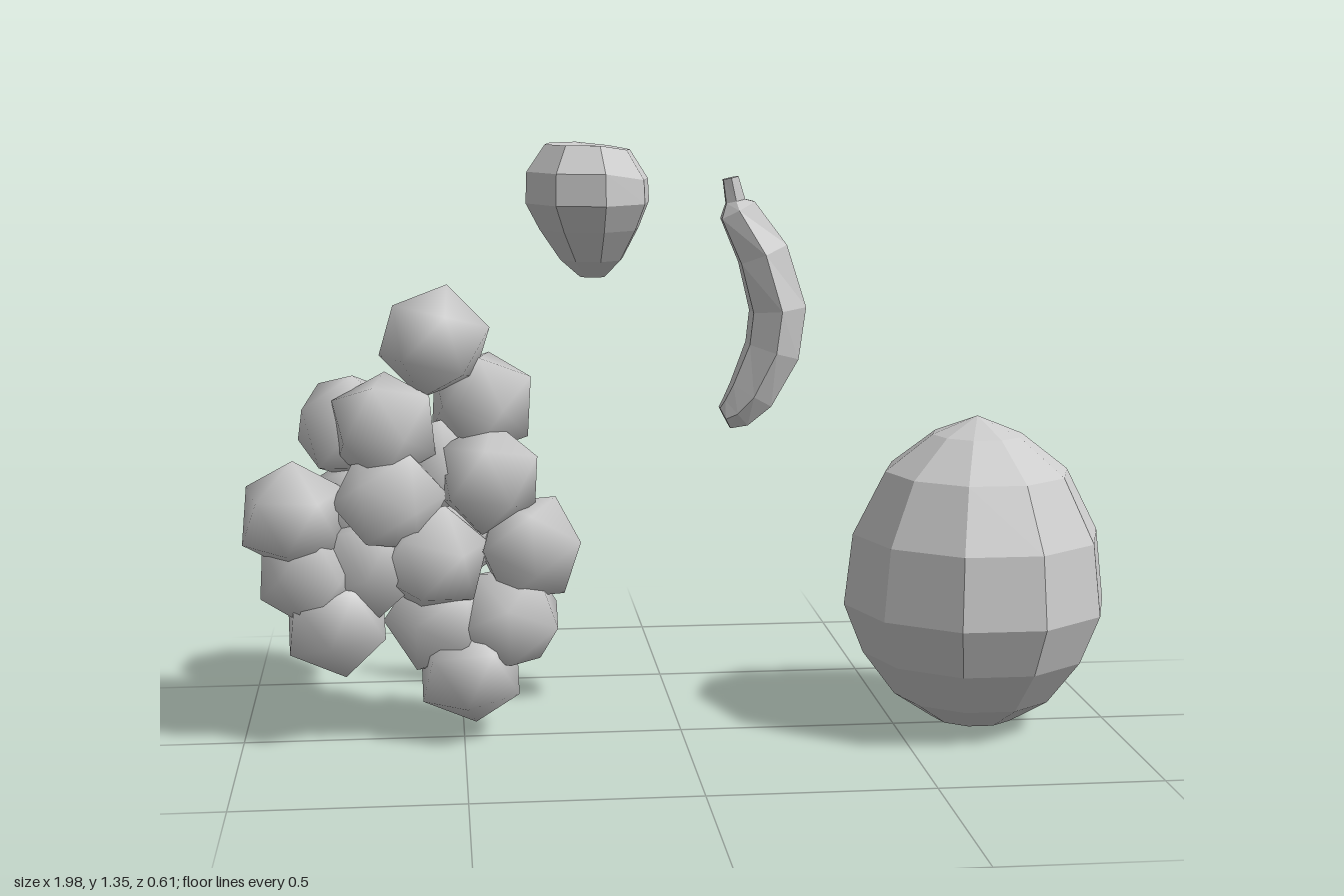
import * as THREE from 'three';
import { mergeVertices } from 'three/addons/utils/BufferGeometryUtils.js';

const smooth = new THREE.MeshStandardMaterial({ color: 0xcccccc });
const faceted = new THREE.MeshStandardMaterial({ color: 0xcccccc, flatShading: true, side: THREE.DoubleSide });

function addMesh(parent, name, geometry, material) {
  const mesh = new THREE.Mesh(geometry, material);
  mesh.name = name;
  parent.add(mesh);
  return mesh;
}

// Turned profile given as [radius, height] pairs
function lathe(profile, sides, phase = 0) {
  return new THREE.LatheGeometry(profile.map(([r, y]) => new THREE.Vector2(r, y)), sides, phase);
}

// Bends rings along a path in the xy plane: [x, y, half width, half depth]
function bentTube(rings, sides) {
  const positions = [];
  const index = [];
  rings.forEach(([x, y, w, d], i) => {
    const a = rings[Math.max(i - 1, 0)];
    const b = rings[Math.min(i + 1, rings.length - 1)];
    const length = Math.hypot(b[0] - a[0], b[1] - a[1]);
    const nx = -(b[1] - a[1]) / length;
    const ny = (b[0] - a[0]) / length;
    for (let j = 0; j < sides; j++) {
      const t = ((j + 0.5) / sides) * Math.PI * 2;
      const c = Math.cos(t) * w;
      positions.push(x + nx * c, y + ny * c, Math.sin(t) * d);
      if (i === 0) continue;
      const k = (j + 1) % sides;
      const p = (i - 1) * sides;
      const q = i * sides;
      index.push(p + j, q + j, p + k, p + k, q + j, q + k);
    }
  });
  // End caps
  const last = (rings.length - 1) * sides;
  for (let j = 1; j < sides - 1; j++) {
    index.push(0, j, j + 1, last, last + j + 1, last + j);
  }
  const geometry = new THREE.BufferGeometry();
  geometry.setAttribute('position', new THREE.Float32BufferAttribute(positions, 3));
  geometry.setIndex(index);
  geometry.computeVertexNormals();
  return geometry;
}

function makeGrapes() {
  const group = new THREE.Group();
  group.name = 'grapes';
  let berry = new THREE.IcosahedronGeometry(0.13, 0);
  berry.deleteAttribute('normal');
  berry.deleteAttribute('uv');
  berry = mergeVertices(berry);
  berry.computeVertexNormals();
  const centres = [
    [-0.555, 0.92, 0], [-0.45, 0.77, -0.06], [-0.75, 0.72, -0.07], [-0.67, 0.73, 0.02],
    [-0.66, 0.57, 0.04], [-0.875, 0.53, 0.015], [-0.44, 0.61, 0.01], [-0.54, 0.62, -0.06],
    [-0.345, 0.445, 0], [-0.565, 0.43, 0.03], [-0.7, 0.42, 0], [-0.84, 0.4, 0],
    [-0.785, 0.285, 0], [-0.55, 0.28, -0.02], [-0.395, 0.285, 0], [-0.485, 0.165, 0],
    [-0.73, 0.53, -0.07], [-0.52, 0.47, -0.07],
  ];
  centres.forEach(([x, y, z], i) => {
    const grape = addMesh(group, 'grape', berry, smooth);
    grape.position.set(x, y, z);
    grape.rotation.set(i * 1.3, i * 2.1 + 0.4, i * 0.7 + 0.3);
  });
  return group;
}

function makeApple() {
  const group = new THREE.Group();
  group.name = 'apple';
  group.position.set(-0.205, 0, -0.05);
  // Body with a sunken top, narrowing to a small base
  const body = lathe([
    [0, 1.06], [0.035, 1.055], [0.085, 1.095], [0.135, 1.165], [0.168, 1.225],
    [0.165, 1.295], [0.115, 1.355], [0.055, 1.345], [0.03, 1.325], [0, 1.32],
  ], 8, 0.2);
  // The right side of the crown slopes away, and the base leans towards it
  const p = body.attributes.position;
  for (let i = 0; i < p.count; i++) {
    const x = p.getX(i);
    const y = p.getY(i);
    const lean = 0.03 * Math.max(0, (1.22 - y) / 0.17);
    p.setX(i, x * 0.86 + (y < 1.22 ? lean * 0.4 : 0));
    p.setZ(i, p.getZ(i) * 1.06 - lean * 0.8);
    if (y > 1.28 && x > 0.04) p.setY(i, y - x * 0.12);
  }
  body.computeVertexNormals();
  addMesh(group, 'appleBody', body, faceted);
  const stem = addMesh(group, 'appleStem', new THREE.CylinderGeometry(0.022, 0.015, 0.03, 6), faceted);
  stem.position.y = 1.335;
  return group;
}

function makeBanana() {
  const group = new THREE.Group();
  group.name = 'banana';
  addMesh(group, 'bananaBody', bentTube([
    [0.112, 1.28, 0.02, 0.017],
    [0.123, 1.228, 0.025, 0.02],
    [0.128, 1.208, 0.048, 0.034],
    [0.185, 1.11, 0.064, 0.062],
    [0.22, 0.985, 0.069, 0.08],
    [0.208, 0.89, 0.067, 0.076],
    [0.16, 0.79, 0.058, 0.056],
    [0.125, 0.75, 0.045, 0.04],
    [0.1, 0.737, 0.03, 0.026],
  ], 6), faceted);
  return group;
}

function makeMelon() {
  // Ten-sided egg, slightly deeper than wide, fullest below the middle
  const melon = new THREE.Group();
  melon.name = 'melon';
  const body = addMesh(melon, 'melonBody', lathe([
    [0, 0.005], [0.1, 0.02], [0.195, 0.078], [0.275, 0.18], [0.323, 0.295],
    [0.303, 0.46], [0.225, 0.605], [0.11, 0.69], [0, 0.732],
  ], 10, Math.PI / 2), faceted);
  body.position.x = 0.687;
  body.scale.x = 0.95;
  return melon;
}

export function createModel() {
  const model = new THREE.Group();
  model.name = 'fruit';
  model.add(makeGrapes(), makeApple(), makeBanana(), makeMelon());
  return model;
}
